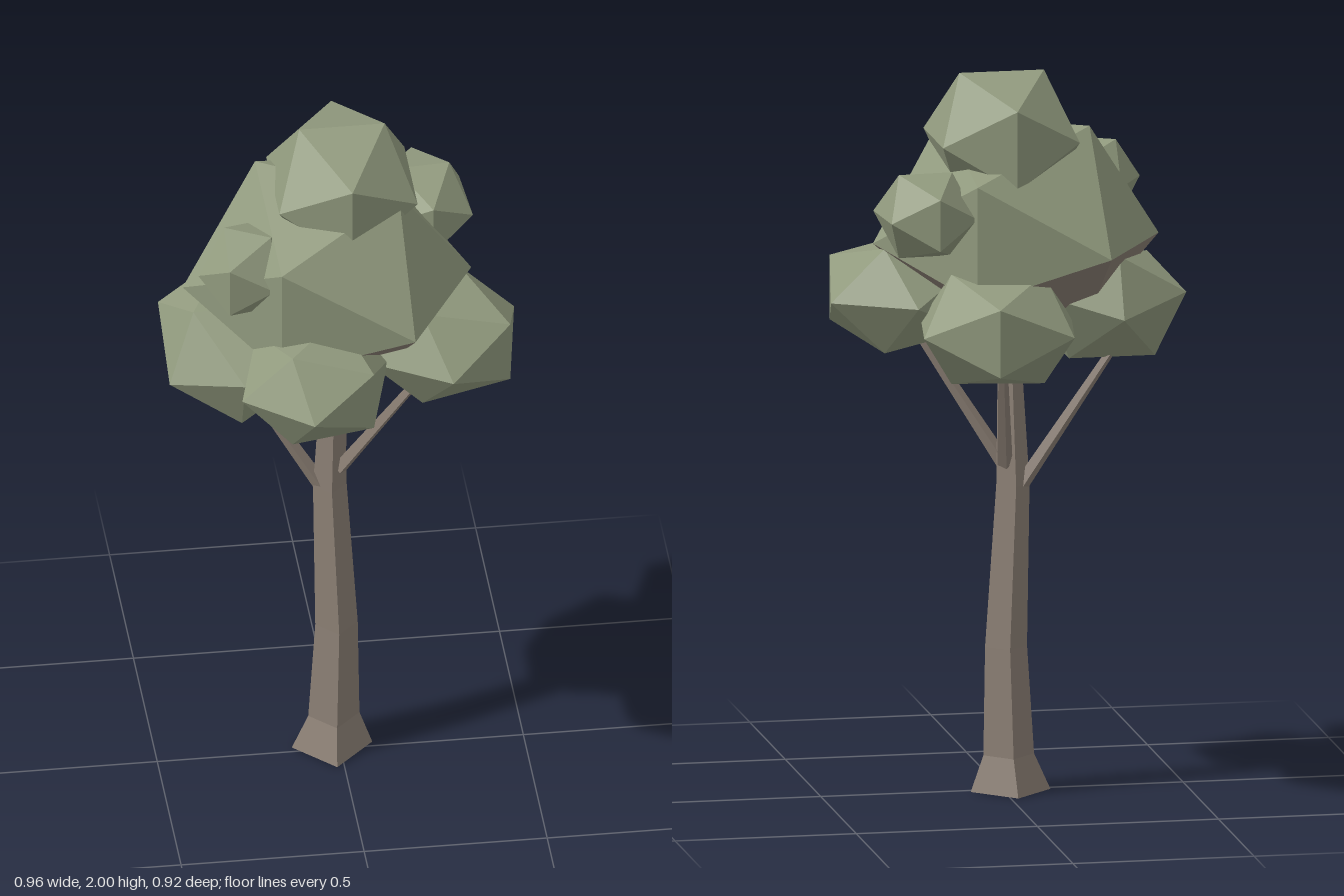
import * as THREE from 'three';

const leafGreen = new THREE.MeshStandardMaterial({ color: 0x919a7e, flatShading: true });
leafGreen.name = 'leafGreen';
const barkBrown = new THREE.MeshStandardMaterial({ color: 0x8c8075, flatShading: true });
barkBrown.name = 'barkBrown';

// Faceted leaf clumps: name, centre, scale, turn about y, tilt about x
const clumps = [
  ['topClump', [0.012, 1.822, -0.058], [0.222, 0.209, 0.264], 0, 0],
  ['frontClump', [-0.1, 1.378, 0.242], [0.222, 0.165, 0.22], 0.89, 0],
  ['leftClump', [0.268, 1.374, 0.06], [0.24, 0.17, 0.24], 1.03, 0],
  ['rightClump', [-0.284, 1.34, -0.045], [0.226, 0.17, 0.255], 0, 0.4],
  ['backClump', [0.06, 1.328, -0.25], [0.24, 0.178, 0.248], -0.16, 0],
  ['smallLeftClump', [0.25, 1.64, -0.2], [0.142, 0.135, 0.182], 0.07, 0],
  ['smallRightClump', [-0.265, 1.66, 0.088], [0.13, 0.135, 0.16], -0.49, 0],
];

function clump([name, centre, scale, turn, tilt], material = leafGreen) {
  const mesh = new THREE.Mesh(new THREE.IcosahedronGeometry(1, 0), material);
  mesh.name = name;
  mesh.position.set(...centre);
  mesh.scale.set(...scale);
  mesh.rotation.set(tilt, turn, 0);
  return mesh;
}

// Main crown: green above, flattened bark-coloured underside
function crown() {
  const mesh = clump(['mainCrown', [-0.033, 1.53, -0.027], [0.402, 0.382, 0.372], -0.525, 0], [leafGreen, barkBrown]);
  const p = mesh.geometry.attributes.position;
  for (let i = 0; i < p.count; i += 3) {
    const y = (p.getY(i) + p.getY(i + 1) + p.getY(i + 2)) / 3;
    mesh.geometry.addGroup(i, 3, y < -0.2 ? 1 : 0);
  }
  for (let i = 0; i < p.count; i++) if (p.getY(i) < 0) p.setY(i, p.getY(i) * 0.6);
  mesh.geometry.computeVertexNormals();
  return mesh;
}

// Four-sided trunk, rows from top down to a hollow under the foot: y, radius, x, z
function trunk() {
  const rows = [
    [1.19, 0.033, -0.018, -0.018],
    [0.85, 0.046, -0.025, -0.028],
    [0.4, 0.058, -0.008, -0.018],
    [0.1, 0.07, -0.015, -0.02],
    [0, 0.11, -0.02, -0.02],
    [0, 0.078, -0.02, -0.02],
    [0.03, 0.072, -0.02, -0.02],
    [0.03, 0, -0.02, -0.02],
  ];
  const last = rows.length - 1;
  const geometry = new THREE.CylinderGeometry(1, 1, 1, 4, last);
  const p = geometry.attributes.position;
  for (let i = 0; i < p.count; i++) {
    const [y, r, x, z] = rows[Math.round((0.5 - p.getY(i)) * last)];
    p.setXYZ(i, x + p.getX(i) * r, y, z + p.getZ(i) * r);
  }
  geometry.computeVertexNormals();
  const mesh = new THREE.Mesh(geometry, barkBrown);
  mesh.name = 'trunk';
  return mesh;
}

// Thin tapered branch between two points
function branch(name, from, to) {
  const a = new THREE.Vector3(...from);
  const b = new THREE.Vector3(...to);
  const along = b.clone().sub(a);
  const mesh = new THREE.Mesh(new THREE.CylinderGeometry(0.012, 0.021, along.length(), 4), barkBrown);
  mesh.name = name;
  mesh.position.copy(a).add(b).multiplyScalar(0.5);
  mesh.quaternion.setFromUnitVectors(new THREE.Vector3(0, 1, 0), along.normalize());
  return mesh;
}

export function createModel() {
  const tree = new THREE.Group();
  tree.name = 'tree';
  tree.add(trunk(), crown());
  tree.add(
    branch('rightBranch', [-0.05, 0.85, -0.03], [-0.28, 1.22, -0.1]),
    branch('leftBranch', [0, 0.91, -0.015], [0.23, 1.28, 0.08]),
    branch('backBranch', [0, 0.91, -0.045], [0.05, 1.25, -0.27]),
  );
  for (const c of clumps) tree.add(clump(c));
  return tree;
}
